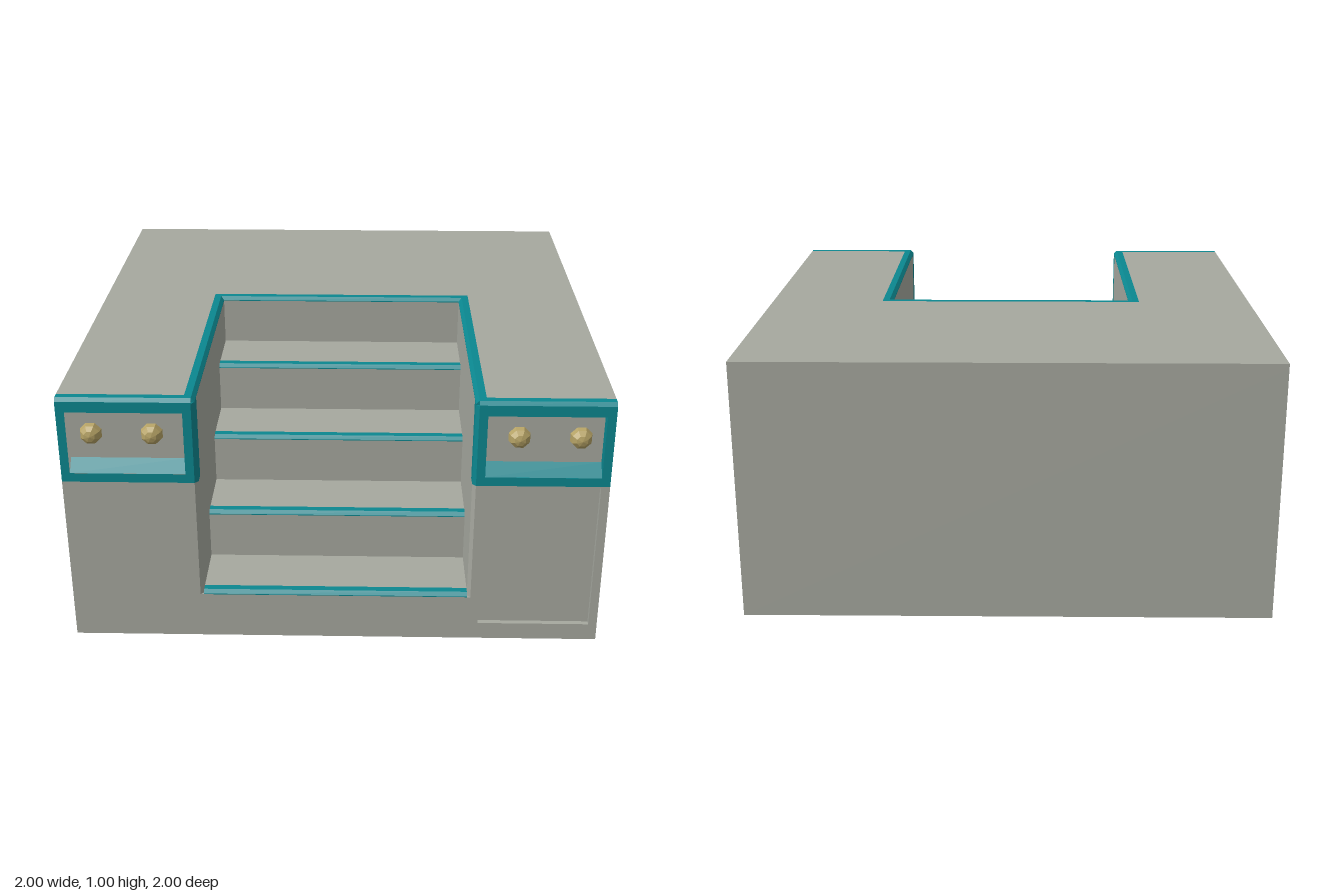
import * as THREE from 'three';

const H = 0.016;   // trim height
const C = 0.013;   // trim chamfer
const W = 0.04;    // trim width
const EDGE = [1, 0.739, 0.478, 0.217, -0.044]; // front edge of each tread
const BACK = EDGE[4];

export function createModel() {
  const model = new THREE.Group();
  model.name = 'recessedStairs';
  const stone = new THREE.MeshStandardMaterial({ name: 'stone grey', color: 0xa6a89f });
  const teal = new THREE.MeshStandardMaterial({ name: 'teal trim', color: 0x0b878f });
  const gold = new THREE.MeshStandardMaterial({ name: 'dull gold', color: 0xb5a265, flatShading: true });

  const add = (name, geometry, material) => {
    const mesh = new THREE.Mesh(geometry, material);
    mesh.name = name;
    model.add(mesh);
    return mesh;
  };
  const shapeOf = (pts) => new THREE.Shape(pts.map(([a, b]) => new THREE.Vector2(a, b)));
  const extrude = (shape, depth) =>
    new THREE.ExtrudeGeometry(shape, { depth, bevelEnabled: false });
  // Profile of (z, y) points swept from x0 to x1
  const alongX = (pts, x0, x1) =>
    extrude(shapeOf(pts), x1 - x0).rotateY(-Math.PI / 2).translate(x1, 0, 0);
  // Plan of (x, z) points raised from y0 to y1
  const alongY = (pts, y0, y1) =>
    extrude(shapeOf(pts.map(([x, z]) => [x, -z])), y1 - y0).rotateX(-Math.PI / 2).translate(0, y0, 0);
  // Outline of (x, y) points, with rectangular holes, swept from z0 to z1
  const alongZ = (pts, z0, z1, holes = []) => {
    const shape = shapeOf(pts);
    shape.holes.push(...holes.map(shapeOf));
    return extrude(shape, z1 - z0).translate(0, 0, z0);
  };
  const rect = (a0, b0, a1, b1) => [[a0, b0], [a1, b0], [a1, b1], [a0, b1]];
  // Chamfered strip profile whose outer corner is at (e, level)
  const strip = (e, level, dir = 1) => [
    [e - dir * W, level - H], [e, level - H], [e, level - C],
    [e - dir * C, level], [e - dir * W, level],
  ];

  // Main block behind the stairs
  add('backBlock', alongX(rect(-1, 0, BACK, 1 - H), -1, 1), stone);

  // Top surface, a U shape left clear of the trim
  add('topSlab', alongY([
    [-1, -1], [1, -1], [1, 1 - W], [0.5 + W, 1 - W], [0.5 + W, BACK - W],
    [-0.5 - W, BACK - W], [-0.5 - W, 1 - W], [-1, 1 - W],
  ], 1 - H, 1), stone);

  // Stair flight, notched where the nosings sit
  const flight = [[BACK, 0], [1, 0]];
  for (let i = 0; i < 4; i++) {
    const y = 0.2 * (i + 1), e = EDGE[i];
    flight.push([e, y - H], [e - W, y - H], [e - W, y], [EDGE[i + 1], y]);
    add('nosing' + (i + 1), alongX(strip(e, y), -0.5, 0.5), teal);
  }
  add('stairFlight', alongX(flight, -0.5, 0.5), stone);
  add('topNosing', alongX(strip(BACK, 1), -0.5 - W, 0.5 + W), teal);

  // The two piers beside the stairs
  for (const s of [1, -1]) {
    const side = s > 0 ? 'left' : 'right';
    const m = (pts) => pts.map(([x, y]) => [s * x, y]);
    const span = (pts, x0, x1) => alongX(pts, Math.min(s * x0, s * x1), Math.max(s * x0, s * x1));
    const part = (name, geometry, material) => add(side + name, geometry, material);

    part('PierCore', alongZ(m(rect(0.5, 0, 1, 1 - H)), BACK, 0.94), stone);

    // Lower front with a shallow sunken panel
    part('LowerFrame', alongZ(
      m([[0.5, 0], [1, 0], [1, 0.665], [0.5 + C, 0.665], [0.5 + C, 0.2 - H], [0.5, 0.2 - H]]),
      0.94, 1, [m(rect(0.545, 0.068, 0.968, 0.66))]), stone);
    part('LowerPanel', alongZ(m(rect(0.545, 0.068, 0.968, 0.66)), 0.94, 0.98), stone);

    // Upper teal frame with a deep opening and sloped sill
    part('UpperFrame', alongZ(m(rect(0.5 + C, 0.665, 0.994, 1 - H)), 0.94, 1,
      [m(rect(0.545, 0.7, 0.968, 0.945))]), teal);
    part('FrameEnd', alongZ(m(rect(0.994, 0.665, 1, 1 - H)), 0.994, 1), teal);
    part('FrameCheek', alongZ(m(rect(0.994, 0.665, 1, 1 - H)), 0.94, 0.994), stone);
    part('UpperPanel', alongZ(m(rect(0.545, 0.7, 0.968, 0.945)), 0.94, 0.958), stone);
    part('Sill', span([[0.958, 0.7], [0.999, 0.7], [0.958, 0.745]], 0.545, 0.968), teal);

    // Chamfered inner corner post, stone below and teal above
    const post = m([[0.5, 0.94], [0.5 + C, 0.94], [0.5 + C, 1], [0.5, 1 - C]]);
    part('LowerPost', alongY(post, 0.2 - H, 0.665), stone);
    part('UpperPost', alongY(post, 0.665, 1 - H), teal);

    // Trim along the top of the stairwell wall and the pier front
    part('WallTrim', alongZ(m(strip(0.5, 1, -1)), BACK - C, 1 - C), teal);
    part('FrontTrim', span(strip(1, 1), 0.5 + C, 1), teal);

    // Faceted studs on the upper panel
    for (const x of [0.665, 0.887]) {
      const stud = part('Stud', new THREE.SphereGeometry(0.043, 8, 6).rotateX(Math.PI / 2).rotateZ(Math.PI / 8), gold);
      stud.position.set(s * x, 0.845, 0.956);
    }
  }
  return model;
}
